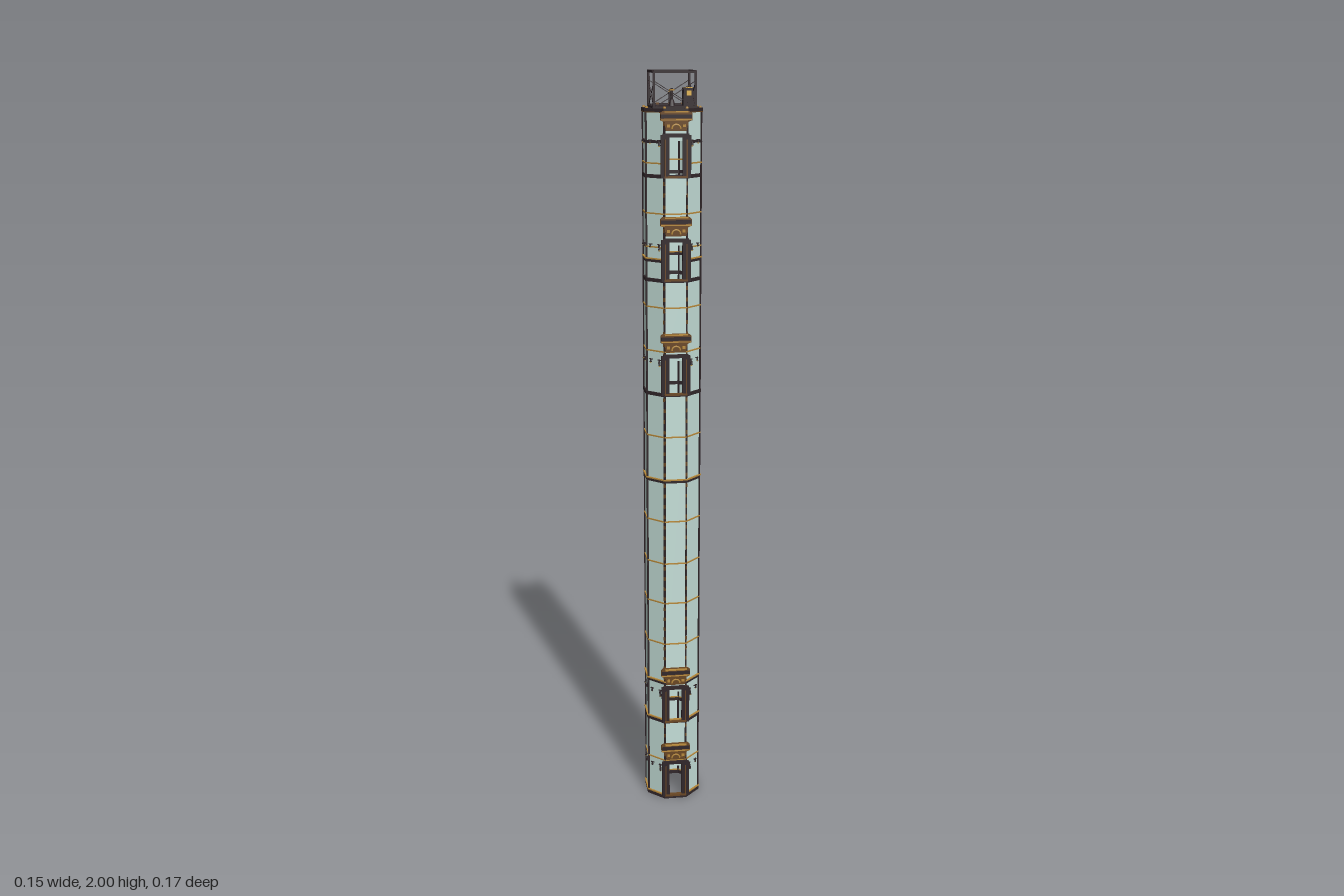
import * as THREE from 'three';

const mat = (name, color, side = THREE.FrontSide) => {
  const m = new THREE.MeshStandardMaterial({ color, side });
  m.name = name;
  return m;
};

export function createModel() {
  const model = new THREE.Group();
  model.name = 'liftTower';
  const glass = mat('paleGlass', 0xc5dfd9, THREE.DoubleSide);
  const iron = mat('darkIron', 0x31272a);
  const brass = mat('brass', 0xb88a3c);
  const bronze = mat('bronze', 0x6a4724);
  const glow = mat('lampGlow', 0xe2b450);

  const add = (parent, name, geo, m, x = 0, y = 0, z = 0) => {
    const mesh = new THREE.Mesh(geo, m);
    mesh.name = name;
    mesh.position.set(x, y, z);
    parent.add(mesh);
    return mesh;
  };
  const box = (parent, name, m, w, h, d, x, y, z) =>
    add(parent, name, new THREE.BoxGeometry(w, h, d), m, x, y, z);
  const group = (name, parent = model) => {
    const g = new THREE.Group();
    g.name = name;
    parent.add(g);
    return g;
  };
  // straight bar between two points
  const bar = (parent, name, m, a, b, r) => {
    const from = new THREE.Vector3(...a), to = new THREE.Vector3(...b);
    const mesh = add(parent, name, new THREE.BoxGeometry(r * 2, from.distanceTo(to), r * 2), m);
    mesh.position.copy(from).lerp(to, 0.5);
    mesh.quaternion.setFromUnitVectors(new THREE.Vector3(0, 1, 0), to.clone().sub(from).normalize());
  };
  // one group per octagon face, turned outward; face 0 is the front
  const eachFace = (parent, build) => {
    for (let i = 0; i < 8; i++) {
      const g = group('side' + i, parent);
      g.rotation.y = i * Math.PI / 4;
      build(g, i);
    }
  };

  const A = 0.07, BASE = 0.01, TOP = 1.905, DOOR = 0.09;
  const TAN = Math.tan(Math.PI / 8);
  const floors = [0.01, 0.24, 1.18, 1.48, 1.74];

  // glass walls, with the front one open at each doorway
  eachFace(group('glassWalls'), (g, i) => {
    const w = 2 * A * TAN;
    const pane = (y0, y1) => add(g, 'glassPane', new THREE.PlaneGeometry(w, y1 - y0), glass, 0, (y0 + y1) / 2, A);
    if (i) return pane(BASE, TOP);
    floors.forEach((y, k) => pane(y + DOOR, floors[k + 1] ?? TOP));
  });

  // corner posts, studded on the two front corners
  eachFace(group('cornerPosts'), (g, i) => {
    box(g, 'cornerPost', iron, 0.0045, TOP - BASE, 0.0045, A * TAN, (TOP + BASE) / 2, A);
    if (i === 0 || i === 7)
      for (let y = 0.05; y < 1.88; y += 0.0294) box(g, 'postStud', bronze, 0.0045, 0.01, 0.006, A * TAN, y, A);
  });

  // horizontal bands: height, thickness, reach, material
  const bands = [
    ...[0.12, 0.475, 0.595, 0.71, 0.83, 1.065, 1.295, 1.41, 1.565, 1.65, 1.775].map(y => [y, 0.0035, 0.0725, brass]),
    ...[0.357, 0.942, 1.53, 1.828].map(y => [y, 0.007, 0.073, iron]),
    ...[0.005, 0.24, 1.18, 1.48, 1.743].map(y => [y, 0.009, 0.0735, iron]),
    ...[0.012, 0.246, 0.947, 0.362, 1.535].map(y => [y, 0.0035, 0.0745, brass]),
  ];
  const bandGroup = group('bands');
  for (const [y, h, reach, m] of bands) {
    const inDoor = floors.some(f => y > f + 0.012 && y < f + DOOR);
    eachFace(bandGroup, (g, i) => {
      if (i || !inDoor) box(g, 'band', m, 2 * reach * TAN, h, 0.006, 0, y, reach - 0.003);
    });
  }

  // small hanging lamps at every landing
  const lampGroup = group('landingLamps');
  for (const f of floors) {
    eachFace(lampGroup, (g, i) => {
      if (!i) return;
      const y = f + 0.092;
      for (const x of [-0.014, 0.014]) {
        box(g, 'lampBracket', iron, 0.01, 0.002, 0.004, x, y, 0.072);
        add(g, 'lamp', new THREE.CylinderGeometry(0.0018, 0.003, 0.008, 6), iron, x, y - 0.004, 0.073);
        add(g, 'lampTip', new THREE.SphereGeometry(0.002, 6, 4), glow, x, y - 0.0085, 0.073);
      }
    });
  }

  // doorways: posts, lintel and stepped crest
  const crest = new THREE.Shape();
  [[-0.026, 0], [0.026, 0], [0.03, 0.022], [0.04, 0.026], [0.04, 0.043], [0.034, 0.048],
    [-0.034, 0.048], [-0.04, 0.043], [-0.04, 0.026], [-0.03, 0.022]]
    .forEach(([x, y], i) => (i ? crest.lineTo(x, y) : crest.moveTo(x, y)));
  const crestGeo = new THREE.ExtrudeGeometry(crest, { depth: 0.009, bevelEnabled: false });
  for (const f of floors) {
    const d = group('doorway');
    d.position.y = f;
    for (const s of [-1, 1]) {
      box(d, 'doorPost', iron, 0.021, 0.105, 0.01, s * 0.0275, 0.0525, 0.073);
      box(d, 'doorPostTrim', bronze, 0.003, 0.09, 0.002, s * 0.0275, 0.05, 0.0785);
      add(d, 'doorLamp', new THREE.CylinderGeometry(0.002, 0.0035, 0.01, 6), iron, s * 0.042, 0.084, 0.07);
      add(d, 'doorLampTip', new THREE.SphereGeometry(0.0025, 6, 4), glow, s * 0.042, 0.0785, 0.07);
    }
    box(d, 'lintel', iron, 0.066, 0.009, 0.009, 0, 0.104, 0.0735);
    box(d, 'sill', bronze, 0.06, 0.005, 0.012, 0, 0.0025, 0.0745);
    add(d, 'crest', crestGeo, bronze, 0, 0.115, 0.07);
    box(d, 'crestTopBar', iron, 0.078, 0.009, 0.003, 0, 0.151, 0.08);
    box(d, 'crestLowerTrim', brass, 0.078, 0.0025, 0.003, 0, 0.1425, 0.08);
    box(d, 'crestLedge', brass, 0.06, 0.003, 0.006, 0, 0.1615, 0.082);
    const arch = add(d, 'crestArch', new THREE.TorusGeometry(0.011, 0.0024, 5, 10, Math.PI), brass, 0, 0.12, 0.0795);
    arch.scale.z = 0.8;
    for (const s of [-1, 1]) box(d, 'crestStud', brass, 0.008, 0.007, 0.003, s * 0.02, 0.128, 0.0797);
  }

  // rear guide rails held by hoops
  const rails = group('rearRails');
  for (const s of [-1, 1]) box(rails, 'guideRail', iron, 0.003, 1.895, 0.003, s * 0.0285, 0.9575, -0.083);
  for (const y of [0.012, 0.12, 0.246, 0.362, 0.475, 0.595, 0.71, 0.83, 0.947, 1.065, 1.18, 1.295, 1.41, 1.535, 1.65, 1.775, 1.908]) {
    for (const s of [-1, 1]) box(rails, 'hoopArm', brass, 0.004, 0.0035, 0.016, s * 0.0285, y, -0.079);
    box(rails, 'hoopBar', brass, 0.061, 0.0035, 0.003, 0, y, -0.0855);
  }

  // brass conduit up the rear corner face
  const conduit = group('conduit');
  conduit.rotation.y = Math.PI * 1.25;
  box(conduit, 'conduitPipe', brass, 0.0035, 1.89, 0.004, 0, 0.955, 0.0735);

  // roof
  const roof = group('roof');
  const octagon = (name, a, h, y, m) => {
    const r = a / Math.cos(Math.PI / 8);
    const geo = new THREE.CylinderGeometry(r, r, h, 8).toNonIndexed();
    geo.computeVertexNormals();
    add(roof, name, geo, m, 0, y, 0).rotation.y = Math.PI / 8;
  };
  octagon('roofCap', 0.0745, 0.008, 1.905, iron);
  octagon('roofTrim', 0.075, 0.002, 1.9, bronze);
  box(roof, 'machineDeck', iron, 0.11, 0.004, 0.11, 0, 1.911, 0);
  for (const s of [-1, 1]) {
    box(roof, 'deckEdge', iron, 0.113, 0.004, 0.003, 0, 1.912, s * 0.054);
    box(roof, 'deckEdge', iron, 0.003, 0.004, 0.113, s * 0.054, 1.912, 0);
  }
  eachFace(roof, g => add(g, 'roofBolt', new THREE.CylinderGeometry(0.003, 0.004, 0.005, 6), brass, 0.0285, 1.911, 0.068));
  box(roof, 'rearBeam', iron, 0.1, 0.005, 0.006, 0, 1.915, -0.038);
  for (const x of [-0.032, 0, 0.032]) box(roof, 'beamClamp', bronze, 0.008, 0.004, 0.008, x, 1.917, -0.038);

  // winch in the middle of the deck
  const winch = group('winch');
  add(winch, 'winchBase', new THREE.CylinderGeometry(0.005, 0.009, 0.016, 8), iron, 0, 1.92, 0);
  add(winch, 'winchShaft', new THREE.CylinderGeometry(0.003, 0.003, 0.03, 8), iron, 0, 1.94, 0);
  add(winch, 'winchWheel', new THREE.CylinderGeometry(0.007, 0.007, 0.004, 8), brass, 0, 1.952, 0);
  add(winch, 'winchHub', new THREE.CylinderGeometry(0.003, 0.003, 0.004, 8), iron, 0, 1.954, 0);
  box(winch, 'rearPost', iron, 0.005, 0.03, 0.005, 0, 1.93, -0.038);
  box(winch, 'rearPostCap', brass, 0.006, 0.002, 0.006, 0, 1.946, -0.038);

  // latticed lantern box beside the winch
  const lantern = group('lantern');
  box(lantern, 'lanternBody', iron, 0.027, 0.045, 0.03, 0.042, 1.934, -0.003);
  for (let i = 0; i < 3; i++) for (let j = 0; j < 4; j++)
    box(lantern, 'lanternLight', glow, 0.005, 0.002, 0.005, 0.035 + i * 0.007, 1.957, -0.0128 + j * 0.0065);
  for (const s of [-1, 1]) box(lantern, 'lanternWindow', glow, 0.012, 0.012, 0.002, 0.042, 1.944, -0.003 + s * 0.0155);

  // open cage with crossed tie rods
  const cage = group('cage');
  const H = 0.0525, y0 = 1.91, y1 = 1.997;
  const corners = [[H, H], [H, -H], [-H, -H], [-H, H]];
  corners.forEach(([x, z], i) => {
    const [u, v] = corners[(i + 1) % 4];
    bar(cage, 'cagePost', iron, [x, y0, z], [x, y1, z], 0.003);
    bar(cage, 'cageTopBar', iron, [x, y1, z], [u, y1, v], 0.003);
    bar(cage, 'tieRod', iron, [x, y0, z], [u, 1.975, v], 0.0009);
    bar(cage, 'tieRod', iron, [x, 1.975, z], [u, y0, v], 0.0009);
  });

  return model;
}
